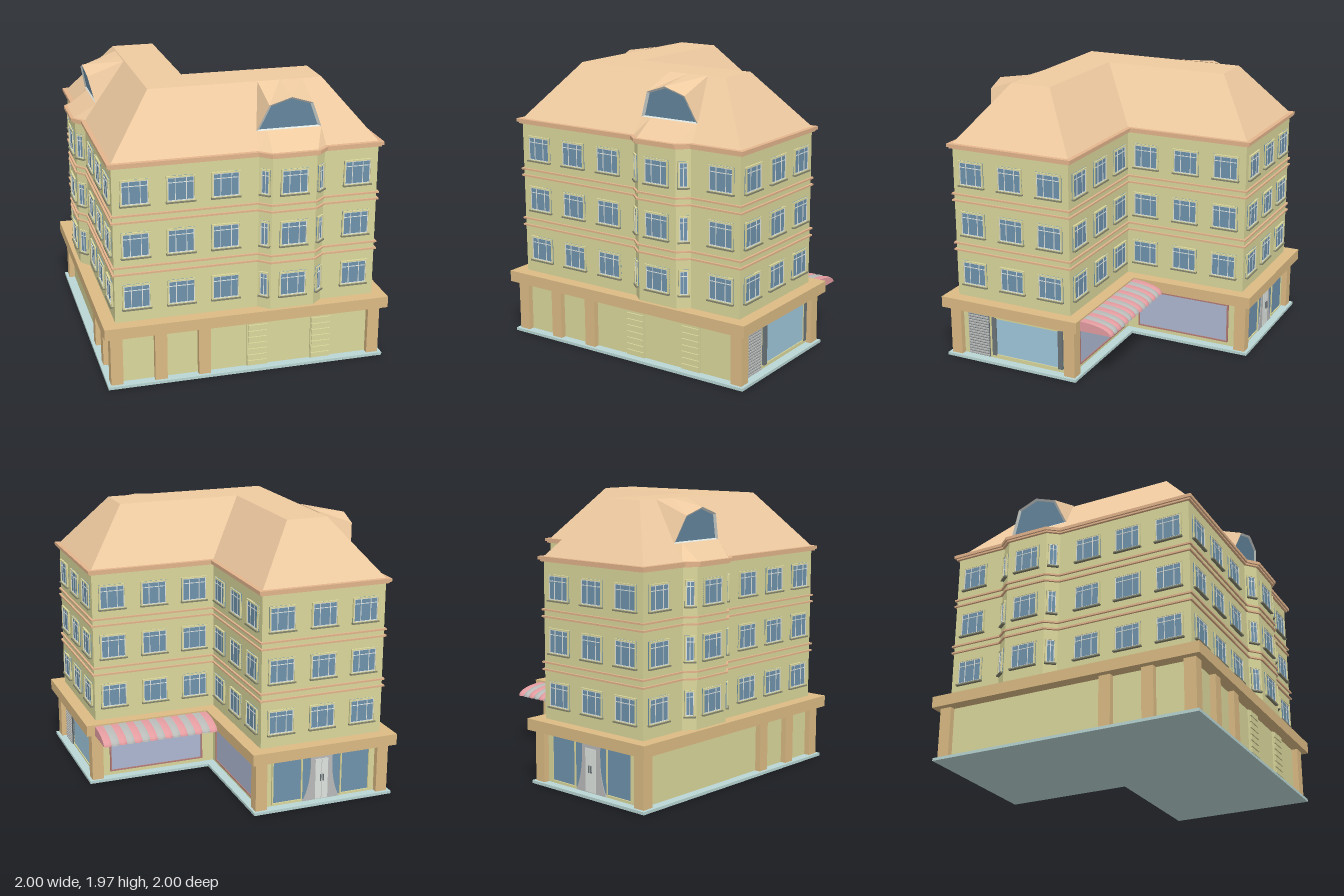
import * as THREE from 'three';
import { ParametricGeometry } from 'three/addons/geometries/ParametricGeometry.js';

const mat = (color) => new THREE.MeshStandardMaterial({ color, flatShading: true, side: THREE.DoubleSide });
const M = {
  wall: mat(0xdbd89c), trim: mat(0xdcbb84), roof: mat(0xeecaa0), cornice: mat(0xe3b58c), base: mat(0xb9d6d4),
  glass: mat(0x6f93ad), white: mat(0xdfe5e0), sill: mat(0x85866f), shop: mat(0xa0c8dc), lavender: mat(0xadb8d2),
  red: mat(0xb57d78), pink: mat(0xe39ca0), grey: mat(0xb9bbb9), dark: mat(0x6c757a),
};

// Plan outlines as [x, z]: plain L, L with the two bays, and the flat top of the roof
const PLAIN = [[-0.91, -0.91], [0, -0.91], [0, 0], [0.91, 0], [0.91, 0.9], [-0.91, 0.9]];
const WALLS = [[-0.91, -0.91], [0, -0.91], [0, 0], [0.91, 0], [0.91, 0.9], [0.53, 0.9], [0.455, 0.965], [0.15, 0.965],
  [0.075, 0.9], [-0.91, 0.9], [-0.91, -0.075], [-0.97, -0.15], [-0.97, -0.455], [-0.91, -0.53]];
const RIDGE = [[-0.6, -0.61], [-0.3, -0.61], [-0.3, 0.3], [0.6, 0.3], [0.6, 0.6], [-0.6, 0.6]];

const normal = (a, b) => {
  const dx = b[0] - a[0], dz = b[1] - a[1], l = Math.hypot(dx, dz);
  return [dz / l, -dx / l];
};

// Mitred outward offset of an outline
function offset(pts, o) {
  const n = pts.length;
  return pts.map((p, i) => {
    const a = normal(pts[(i + n - 1) % n], p), b = normal(p, pts[(i + 1) % n]);
    const k = o / (1 + a[0] * b[0] + a[1] * b[1]);
    return [p[0] + k * (a[0] + b[0]), p[1] + k * (a[1] + b[1])];
  });
}

function add(parent, name, geo, material) {
  const m = new THREE.Mesh(geo, material);
  m.name = name;
  parent.add(m);
  return m;
}

function box(parent, name, material, w, h, d, x, y, z) {
  const m = add(parent, name, new THREE.BoxGeometry(w, h, d), material);
  m.position.set(x, y, z);
  return m;
}

// Solid between two heights over a plan outline
function slab(parent, name, material, pts, y0, y1) {
  const s = new THREE.Shape(pts.map(([x, z]) => new THREE.Vector2(x, -z)));
  const g = new THREE.ExtrudeGeometry(s, { depth: y1 - y0, bevelEnabled: false });
  g.rotateX(-Math.PI / 2).translate(0, y0, 0);
  return add(parent, name, g, material);
}

// Faceted skin between two rows of [x, y, z] points
function skin(parent, name, material, a, b, closed = false) {
  const v = [];
  for (let i = 0; i < a.length - (closed ? 0 : 1); i++) {
    const j = (i + 1) % a.length;
    v.push(...a[i], ...b[i], ...b[j], ...a[i], ...b[j], ...a[j]);
  }
  const g = new THREE.BufferGeometry();
  g.setAttribute('position', new THREE.Float32BufferAttribute(v, 3));
  g.computeVertexNormals();
  return add(parent, name, g, material);
}

// Group standing on a facade, its local +z pointing outwards
function facade(parent, name, x, z, angle) {
  const g = new THREE.Group();
  g.name = name;
  g.position.set(x, 0, z);
  g.rotation.y = angle;
  parent.add(g);
  return g;
}

function frame(g, name, material, w, h, t, d, x, y, z) {
  for (const s of [-1, 1]) {
    box(g, name, material, t, h, d, x + s * (w - t) / 2, y, z);
    box(g, name, material, w - 2 * t, t, d, x, y + s * (h - t) / 2, z);
  }
}

function sashWindow(g, w, y) {
  const h = 0.18, wide = w > 0.1;
  box(g, 'windowGlass', M.glass, w, h, 0.008, 0, y, 0.002);
  frame(g, 'windowSurround', M.wall, w, h, 0.009, 0.024, 0, y, 0.002);
  frame(g, 'windowSash', M.white, w - 0.018, h - 0.018, 0.005, 0.016, 0, y, 0.002);
  box(g, 'windowTransom', M.white, w - 0.02, 0.005, 0.014, 0, y + 0.045, 0.002);
  for (const x of wide ? [-0.19, 0.19] : [0])
    box(g, 'windowMullion', M.white, 0.005, h - 0.02, 0.014, x * w, y, 0.002);
  box(g, 'windowSill', M.sill, w + 0.008, 0.01, 0.036, 0, y - h / 2, 0.004);
}

// Dormer over a bay, centred on local x = 0
function dormer(g) {
  const z = (y) => 0.82 + 0.22 * (y - 1.69);
  const outline = (k, dz) => [[-0.225, 1.69], [-0.15, 1.87], [0, 1.92], [0.15, 1.87], [0.225, 1.69]]
    .map(([x, y]) => { const q = 1.78 + (y - 1.78) * k; return [x * k, q, z(q) + dz]; });
  const front = outline(1, 0), inner = outline(0.9, -0.01);
  skin(g, 'dormerRoof', M.roof, front, [-0.155, -0.155, 0, 0.155, 0.155].map((x) => [x, 1.966, 0.6]));
  skin(g, 'dormerFrame', M.white, front, inner, true);
  skin(g, 'dormerGlass', M.glass, inner, inner.map((p) => [p[0], inner[0][1], inner[0][2]]));
  skin(g, 'bayRoof', M.roof,
    [[-0.235, 1.578, 0.9], [-0.155, 1.578, 0.97], [0.155, 1.578, 0.97], [0.235, 1.578, 0.9]],
    [-0.225, -0.15, 0.15, 0.225].map((x) => [x, 1.69, 0.82]));
}

function awning(parent) {
  const g = facade(parent, 'awning', 0, 0, 0), n = 15, x0 = 0.09, w = 0.85 / n;
  const arc = (t, r) => [0.38 + (0.07 + r) * Math.cos(t), -0.085 - (0.235 + r) * Math.sin(t)];
  for (let i = 0; i < n; i++) {
    const stripe = (u, v, p) => {
      const [y, z] = arc(v * Math.PI / 2, 0.01 * Math.sin(u * Math.PI) * v);
      p.set(x0 + (i + u) * w, y, z);
    };
    add(g, 'awningStripe', new ParametricGeometry(stripe, 6, 10), i % 2 ? M.grey : M.pink);
  }
  for (const x of [x0, x0 + n * w]) {
    const rim = Array.from({ length: 9 }, (_, i) => arc(i * Math.PI / 16, 0));
    skin(g, 'awningCheek', M.pink, rim.map(([y, z]) => [x, y, z]), rim.map(([, z]) => [x, 0.38, z]));
  }
}

export function createModel() {
  const model = new THREE.Group();
  model.name = 'cornerBuilding';
  const Q = Math.PI / 2;

  // Stacked storeys
  slab(model, 'baseSlab', M.base, offset(PLAIN, 0.07), 0, 0.02);
  slab(model, 'groundFloorWall', M.wall, offset(PLAIN, 0.005), 0.02, 0.385);
  slab(model, 'fasciaBand', M.trim, offset(PLAIN, 0.09), 0.38, 0.46);
  slab(model, 'upperWalls', M.wall, WALLS, 0.46, 1.56);
  for (const y of [0.805, 0.855, 1.17, 1.217])
    slab(model, 'stringCourse', M.cornice, offset(WALLS, 0.014), y - 0.006, y + 0.006);
  slab(model, 'corniceLower', M.cornice, offset(WALLS, 0.018), 1.545, 1.56);
  slab(model, 'corniceUpper', M.cornice, offset(WALLS, 0.03), 1.557, 1.58);

  // Hipped roof with a flat top
  skin(model, 'roofSlopes', M.roof, PLAIN.map(([x, z]) => [x, 1.578, z]), RIDGE.map(([x, z]) => [x, 1.966, z]), true);
  slab(model, 'roofTop', M.roof, RIDGE, 1.955, 1.966);
  dormer(facade(model, 'frontDormer', 0.303, 0, 0));
  dormer(facade(model, 'sideDormer', -0.01, -0.303, -Q));

  // Upper windows: positions along each wall edge, as fractions
  const three = [0.165, 0.5, 0.84], bay = [0.5];
  const columns = [three, three, three, three, [0.38], bay, bay, bay, [0.228, 0.538, 0.848],
    [0.152, 0.462, 0.772], bay, bay, bay, [0.62]];
  columns.forEach((fractions, i) => {
    const a = WALLS[i], b = WALLS[(i + 1) % WALLS.length], n = normal(a, b);
    const width = Math.hypot(b[0] - a[0], b[1] - a[1]) < 0.12 ? 0.072 : 0.195;
    for (const f of fractions) {
      const g = facade(model, 'windowColumn', a[0] + (b[0] - a[0]) * f, a[1] + (b[1] - a[1]) * f, Math.atan2(n[0], n[1]));
      for (const y of [0.64, 1.008, 1.373]) sashWindow(g, width, y);
    }
  });

  // Ground floor pillars
  const pillars = [[-0.915, -0.915], [0.01, -0.915], [0.915, -0.01], [0.915, 0.905], [-0.915, 0.905],
    [-0.61, 0.905], [-0.305, 0.905], [-0.915, 0.61], [-0.915, 0.305]];
  for (const [x, z] of pillars) box(model, 'pillar', M.trim, 0.084, 0.365, 0.084, x, 0.2, z);

  // Grooved pilasters on the front
  const front = facade(model, 'frontPilasters', 0, 0.905, 0);
  for (const x of [0.075, 0.535]) {
    box(front, 'pilaster', M.wall, 0.15, 0.36, 0.016, x, 0.2, 0.004);
    for (let i = 0; i < 8; i++) box(front, 'pilasterBlock', M.wall, 0.136, 0.036, 0.03, x, 0.043 + i * 0.045, 0.006);
  }

  // Right end: roller shutter and display window (local x = -z)
  const end = facade(model, 'rightShopFront', 0.915, 0, Q);
  box(end, 'shutter', M.dark, 0.17, 0.33, 0.012, -0.735, 0.19, 0.002);
  for (let i = 0; i < 16; i++) box(end, 'shutterSlat', M.grey, 0.166, 0.011, 0.024, -0.735, 0.037 + i * 0.0205, 0.004);
  box(end, 'displayGlass', M.shop, 0.5, 0.28, 0.012, -0.34, 0.195, 0.002);
  frame(end, 'displayFrame', M.wall, 0.52, 0.3, 0.012, 0.026, -0.34, 0.195, 0.002);
  for (const x of [-0.605, -0.073]) box(end, 'displaySidePanel', M.dark, 0.034, 0.29, 0.03, x, 0.195, 0.004);

  // Courtyard shop windows, one on each inner wall
  for (const [x, z, a] of [[0.005, -0.455, Q], [0.455, -0.005, 2 * Q]]) {
    const g = facade(model, 'courtyardShopWindow', x, z, a);
    box(g, 'shopGlass', M.lavender, 0.7, 0.28, 0.012, 0, 0.2, 0.002);
    frame(g, 'shopFrame', M.red, 0.715, 0.295, 0.01, 0.024, 0, 0.2, 0.004);
  }

  // Back end: glazed entrance with a flared door surround
  const back = facade(model, 'entrance', -0.455, -0.915, 2 * Q);
  box(back, 'entranceGlass', M.glass, 0.74, 0.32, 0.012, 0, 0.2, 0.002);
  for (const x of [-0.26, 0.26]) frame(back, 'entranceFrame', M.wall, 0.23, 0.33, 0.01, 0.024, x, 0.2, 0.004);
  const flare = new THREE.Shape();
  flare.moveTo(-0.14, 0.025);
  flare.quadraticCurveTo(-0.07, 0.16, -0.085, 0.37);
  flare.lineTo(0.085, 0.37);
  flare.quadraticCurveTo(0.07, 0.16, 0.14, 0.025);
  add(back, 'doorSurround', new THREE.ExtrudeGeometry(flare, { depth: 0.014, bevelEnabled: false }), M.grey);
  for (const s of [-1, 1]) {
    box(back, 'doorLeaf', M.white, 0.046, 0.3, 0.02, s * 0.025, 0.18, 0.008);
    box(back, 'doorHandle', M.dark, 0.005, 0.05, 0.014, s * 0.01, 0.19, 0.022);
  }

  awning(model);
  return model;
}
